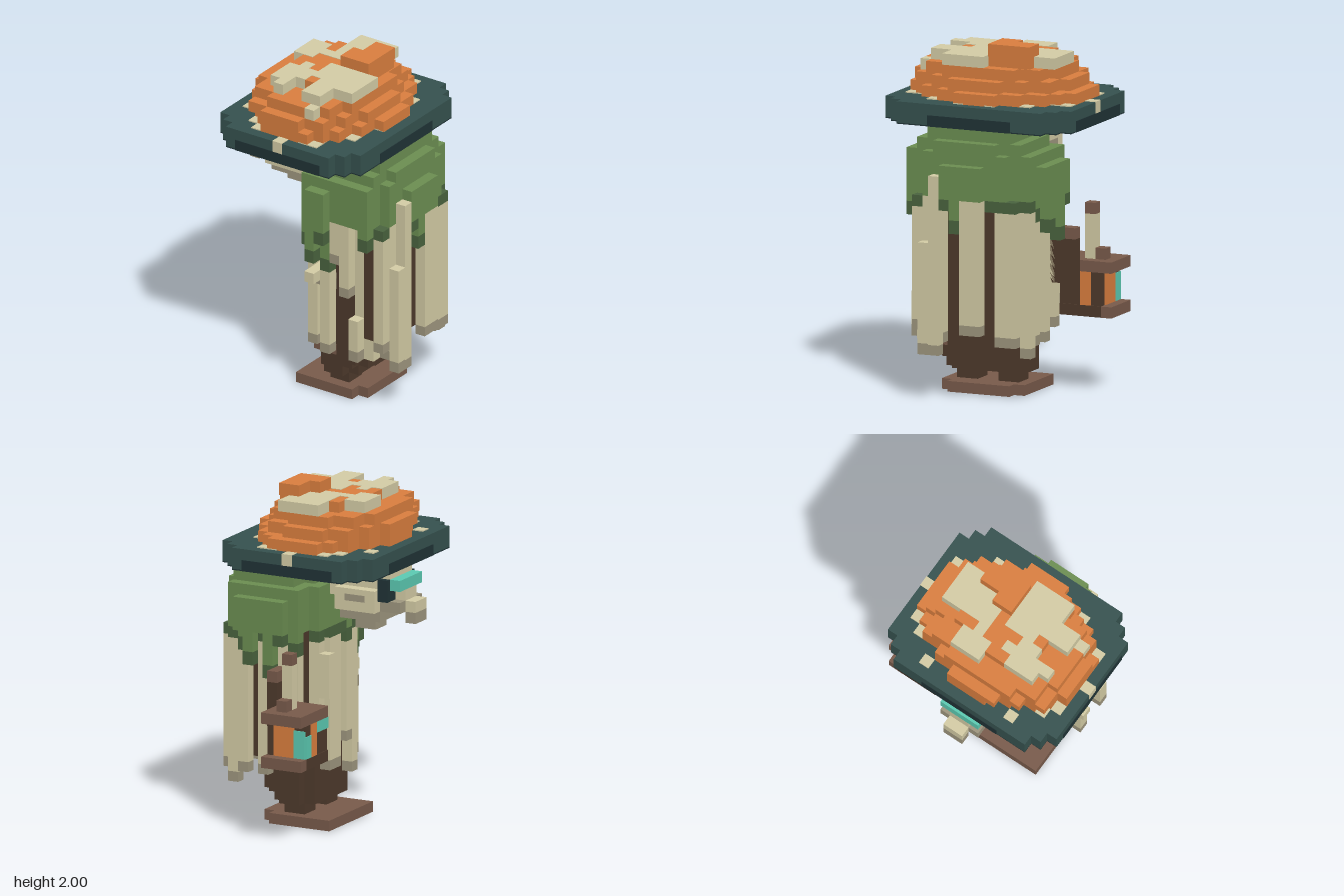
import * as THREE from 'three';

const V = 2 / 31; // size of one block

const palette = {
  orange: 0xdb7f3f, beige: 0xd5cda6, grey: 0x9f977f, moss: 0x6c8f52, darkMoss: 0x4a643f,
  slate: 0x36524f, darkSlate: 0x203336, brown: 0x795b4b, darkBrown: 0x4e3a2c, glow: 0x5ccbb3,
};

export function createModel() {
  const root = new THREE.Group();
  const mats = {};
  for (const [name, color] of Object.entries(palette)) {
    mats[name] = new THREE.MeshStandardMaterial({ color });
    mats[name].name = name;
  }
  const part = (name) => {
    const g = new THREE.Group();
    g.name = name;
    root.add(g);
    return g;
  };
  // Box given by its limits in block units
  const box = (parent, name, mat, x0, x1, y0, y1, z0, z1) => {
    const mesh = new THREE.Mesh(new THREE.BoxGeometry((x1 - x0) * V, (y1 - y0) * V, (z1 - z0) * V), mats[mat]);
    mesh.position.set((x0 + x1) / 2 * V, (y0 + y1) / 2 * V, (z0 + z1) / 2 * V);
    mesh.name = name;
    parent.add(mesh);
  };
  // Slab with stepped round corners: each cut insets x and z
  const slab = (parent, name, mat, x0, x1, y0, y1, z0, z1, cuts) => {
    for (const [cx, cz] of cuts) box(parent, name, mat, x0 + cx, x1 - cx, y0, y1, z0 + cz, z1 - cz);
  };

  // Foot plate, two legs and trunk
  const base = part('base');
  box(base, 'footPlate', 'brown', -2, 4, 0.05, 1, -3, 5);
  box(base, 'footPlateToe', 'brown', 4, 5, 0.05, 1, -2, 4);
  for (const z of [-2, 2]) {
    box(base, 'leg', 'darkBrown', 1, 3, 1, 2, z, z + 2);
    box(base, 'footSpot', 'darkBrown', 1, 3, 0, 0.05, z, z + 2);
  }
  const trunk = part('trunk');
  const corner = [[1, 0], [0, 1]];
  slab(trunk, 'hips', 'darkBrown', 0, 4, 2, 4, -3, 5, corner);
  slab(trunk, 'waist', 'darkBrown', 0, 5, 3, 6, -3, 5, corner);
  box(trunk, 'waistBand', 'brown', 0, 4, 4, 5, 4, 5.1);
  slab(trunk, 'torso', 'darkBrown', 0, 7, 6, 18, -3, 5, corner);
  box(trunk, 'torsoRidge', 'darkBrown', 6, 7, 7, 18, 5, 6);
  box(trunk, 'torsoRidge', 'darkBrown', 3, 5, 4, 15, 5, 5.9);

  // Mossy hump
  const hump = part('mossHump');
  slab(hump, 'humpLower', 'moss', -1, 8, 18, 22, -5, 7, [[1, 0], [0, 2]]);
  box(hump, 'humpFront', 'moss', 1, 3, 18, 21, 7, 8);
  box(hump, 'humpRear', 'moss', 1, 6, 18, 21, -6, -5);
  box(hump, 'humpBack', 'moss', 8, 9, 18, 21, -1, 3);
  slab(hump, 'humpUpper', 'moss', 0, 8, 22, 23, -4, 6, [[1, 0], [0, 2]]);
  box(hump, 'humpTop', 'moss', 1, 7, 23, 24, -3, 5);

  // Hanging column: moss lobe with dark tip, then a pale strand with grey tip
  const fringe = part('hangingFringe');
  const column = (x0, x1, z0, z1, moss, low) => {
    if (moss < 18) {
      const tip = Math.min(18, moss + 1.2);
      box(fringe, 'mossTip', 'darkMoss', x0, x1, moss, tip, z0, z1);
      if (tip < 18) box(fringe, 'mossLobe', 'moss', x0, x1, tip, 18, z0, z1);
    }
    if (low < moss) {
      box(fringe, 'strand', 'beige', x0, x1, low + 0.9, moss, z0, z1);
      box(fringe, 'strandTip', 'grey', x0, x1, low, low + 0.9, z0, z1);
    }
  };
  // Rows of columns along z or x: start, end, moss bottom, strand bottom
  const rowAlongZ = (x, row) => row.forEach(([a, b, moss, low]) => column(x, x + 1, a, b, moss, low));
  const rowAlongX = (z, row) => row.forEach(([a, b, moss, low]) => column(a, b, z, z + 1, moss, low));
  rowAlongZ(8, [[-1, 1, 18, 6], [1, 2, 15, 15], [2, 3, 17, 17], [3, 4, 18, 4]]);
  rowAlongZ(7, [[-4, -2, 17, 5], [-2, -1, 17, 17], [3, 5, 18, 5], [5, 6, 17, 6]]);
  rowAlongZ(-1, [[-3, -2, 17, 6], [-1, 1, 17, 5], [1, 2, 17, 17], [2, 3, 16, 7], [3, 4, 17, 4]]);
  rowAlongX(7, [[1, 2, 14, 14], [2, 3, 16, 16]]);
  rowAlongX(6, [[0, 1, 15, 15], [2, 3, 13, 5], [3, 4, 18, 14], [4, 5, 18, 11], [6, 7, 16, 16]]);
  rowAlongX(5, [[0, 1, 14, 5], [5, 6, 18, 5]]);
  rowAlongX(-5, [[0, 1, 16, 8], [1, 2, 17, 6], [3, 4, 17, 5], [5, 6, 16, 5], [6, 7, 17, 4]]);
  rowAlongX(-6, [[1, 2, 17, 17], [2, 3, 14, 14], [4, 5, 15, 15]]);
  box(fringe, 'shortStrand', 'beige', 8, 9, 5, 14, 4, 5);
  box(fringe, 'shortStrandTip', 'grey', 8, 9, 4, 5, 4, 5);
  box(fringe, 'longStrandTop', 'beige', 8, 9, 18, 20, 3, 4);
  box(fringe, 'frontStump', 'beige', 5, 6, 6, 9, 6, 7);
  box(fringe, 'frontStumpTip', 'grey', 5, 6, 5, 6, 6, 7);
  box(fringe, 'ridgeTuft', 'beige', 6, 7, 5, 7, 5, 6);
  box(fringe, 'frontTuft', 'beige', 1, 2, 12, 13, 5, 8);
  box(fringe, 'frontTuftBase', 'grey', 0, 3, 11, 12, 5, 6.1);
  box(fringe, 'sideStrand', 'beige', -2, -1, 12, 16, -3, -2);

  // Face, nose, beard and visor on the -x side
  const face = part('face');
  box(face, 'neck', 'brown', -1, 2, 23, 24, -1, 3);
  box(face, 'cheekPatch', 'orange', -2, -1, 23, 24, -1.05, 3.05);
  box(face, 'head', 'beige', -6, -1, 22, 24, -1, 3);
  box(face, 'chin', 'beige', -6, -1, 21, 22, -1, 3);
  box(face, 'brow', 'beige', -7, -2, 23, 24, -1, 3);
  box(face, 'jaw', 'beige', -6, -2, 20, 22, -2, 4);
  for (const z of [-2, 4]) box(face, 'jawShade', 'grey', -5, -3, 20.9, 21.5, z - 0.05, z + 0.05);
  box(face, 'visorFrame', 'darkSlate', -7, -6, 21, 23, -1.5, 3.5);
  box(face, 'visor', 'glow', -8, -7, 22, 23, -1, 3);
  box(face, 'noseBridge', 'beige', -8, -7, 21, 22, 0, 2);
  box(face, 'nose', 'beige', -9, -8, 20, 21, 0, 2);
  box(face, 'noseTip', 'grey', -9, -8, 19, 20, 0, 2);
  box(face, 'moustache', 'grey', -8, -6, 20, 21, -1, 3);
  box(face, 'beard', 'grey', -6, -2, 19, 20, -1, 3);
  box(face, 'beardTip', 'grey', -5, -3, 18, 19, 0, 2);

  // Hat brim, dark below
  const hat = part('hat');
  const round = [[2, 0], [1, 1], [0, 2]];
  slab(hat, 'brim', 'slate', -8, 7, 24.1, 26, -8, 10, round);
  slab(hat, 'brimUnderside', 'darkSlate', -8, 7, 24, 24.1, -8, 10, round);
  for (const z of [-8, 10]) {
    box(hat, 'brimShadeBand', 'darkSlate', -5, 4, 24, 25, z - 0.05, z + 0.05);
    box(hat, 'brimSpot', 'beige', -1, 0, 25, 26.05, z < 0 ? -8.05 : 9, z < 0 ? -7 : 10.05);
  }
  for (const x of [-8, 7]) box(hat, 'brimShadeBand', 'darkSlate', x - 0.05, x + 0.05, 24, 25, -3, 5);
  // Glowing gills with small pale spots
  slab(hat, 'gillGlow', 'glow', -6, 0, 23.96, 24, -5, 7, [[2, 0], [1, 1], [0, 3]]);
  for (const z of [-4, -3, 4, 5]) box(hat, 'gillSpot', 'grey', -4 + z % 2, -3 + z % 2, 23.93, 23.96, z, z + 1);
  // Pale spots on the brim around the crown, mirrored front to back
  for (const [x0, x1, z] of [[-4, -3, -7], [1, 3, -7], [-5, -4, -6], [2, 3, -6], [-7, -6, -4], [4, 5, -4], [5, 6, -1]]) {
    for (const z0 of [z, 1 - z]) box(hat, 'crownBaseSpot', 'beige', x0, x1, 26, 26.1, z0, z0 + 1);
  }

  // Stepped crown
  slab(hat, 'crownBase', 'orange', -7, 6, 26, 27, -7, 9, [[4, 0], [3, 1], [2, 2], [1, 4], [0, 6]]);
  slab(hat, 'crownLower', 'orange', -7, 5, 27, 28, -6, 9, [[4, 0], [2, 1], [1, 3], [0, 5]]);
  slab(hat, 'crownMiddle', 'orange', -6, 4, 28, 29, -5, 8, [[3, 0], [1, 1], [0, 3]]);
  box(hat, 'crownTop', 'orange', -3, 2.9, 29, 29.95, -3, 3.9);
  box(hat, 'crownTopFront', 'orange', -1, 0, 29, 29.95, 3.9, 5);
  box(hat, 'crownTopSide', 'orange', -4, -3, 29, 29.95, 1, 3);
  box(hat, 'crownKnob', 'orange', 0, 3, 29.9, 31, -1, 1);
  box(hat, 'crownKnob', 'orange', 1, 3, 29.9, 31, -3, -1);
  // Pale patches on the crown: x0, x1, z0, z1
  const patches = (y0, y1, list) => {
    for (const [x0, x1, z0, z1] of list) box(hat, 'crownPatch', 'beige', x0, x1, y0, y1, z0, z1);
  };
  patches(29, 30, [[-2, 2, -5, -2], [-2, 1, -2, -1], [-3, 0, -1, 0], [-5, -3, -2, 1], [-1, 3, 1, 4]]);
  patches(29, 30, [[3, 4, 1, 5], [-3, -2, 2, 3], [-4, -1, 3, 5], [0, 3, 4, 5], [-4, -2, 5, 6]]);
  patches(28, 30, [[-3, -2, 6, 7], [0, 2, 5, 7]]);
  patches(28, 29, [[1, 2, 7, 8]]);

  // Lantern hung at the rear (-z)
  const lantern = part('lantern');
  box(lantern, 'lanternArm', 'darkBrown', 1, 2, 10, 14, -7, -3);
  box(lantern, 'armCap', 'brown', 1, 2, 14, 15, -7, -5);
  box(lantern, 'lanternPole', 'beige', -1, 0, 12, 16, -8, -7);
  box(lantern, 'poleCap', 'brown', -1, 0, 16, 17, -8, -7);
  box(lantern, 'lidKnob', 'brown', -1, 0, 12, 13, -9, -8);
  box(lantern, 'lanternLid', 'brown', -3, 1, 11, 12, -10, -5);
  box(lantern, 'lanternBody', 'darkBrown', -2.9, 0.9, 8, 11, -9, -5);
  box(lantern, 'lanternFloor', 'darkBrown', -3, 1, 7, 8, -9, -5);
  box(lantern, 'floorRim', 'brown', -3, 1, 7, 8, -10, -9);
  box(lantern, 'rearPane', 'orange', -1.8, 0.2, 8, 11, -9.1, -9);
  box(lantern, 'rearGlow', 'glow', -2.9, -1.8, 8, 10.5, -9.1, -9);
  box(lantern, 'innerPane', 'orange', 0.9, 1, 8, 11, -8, -7);
  box(lantern, 'outerPane', 'orange', -3, -2.9, 8, 11, -8, -7);
  box(lantern, 'outerGlow', 'glow', -3, -2.9, 10, 11, -7, -5);
  box(lantern, 'outerGlow', 'glow', -3, -2.9, 8, 10, -9, -8);
  box(lantern, 'frontPane', 'orange', -2, -1, 8, 11, -5, -4.9);
  box(lantern, 'frontGlow', 'glow', -3, -2, 10, 11, -5, -4.9);
  box(lantern, 'floorGlow', 'glow', -2, -1, 6.95, 7, -8, -7);

  return root;
}
